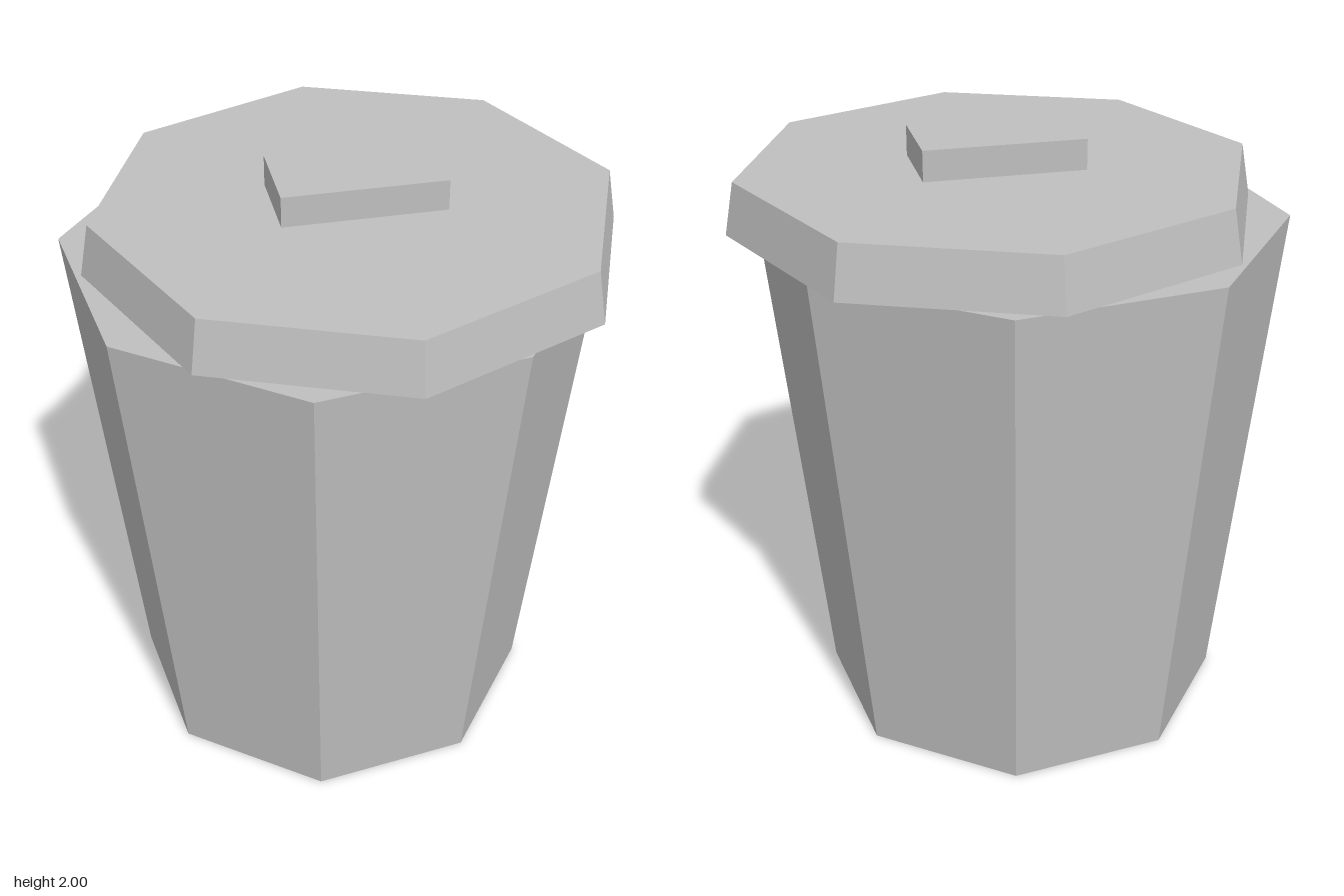
import * as THREE from 'three';

export function createModel() {
  const group = new THREE.Group();
  group.name = 'trashCan';
  const metal = new THREE.MeshStandardMaterial({ color: 0xbfbfbf, flatShading: true });
  metal.name = 'grey metal';

  const add = (name, geometry, parent, x, y, z) => {
    const mesh = new THREE.Mesh(geometry, metal);
    mesh.name = name;
    mesh.position.set(x, y, z);
    parent.add(mesh);
    return mesh;
  };

  // Tapered octagonal bin
  const rim = 1.73;
  add('body', new THREE.CylinderGeometry(0.862, 0.685, rim, 8), group, -0.028, rim / 2, 0);

  // Lid and its handle, twisted and pushed slightly off centre
  const lidGroup = new THREE.Group();
  lidGroup.name = 'lidAssembly';
  lidGroup.position.set(0.054, rim, -0.003);
  lidGroup.rotation.y = THREE.MathUtils.degToRad(15);
  group.add(lidGroup);
  add('lid', new THREE.CylinderGeometry(0.83, 0.862, 0.17, 8), lidGroup, 0, 0.085, 0);
  add('handle', new THREE.BoxGeometry(0.522, 0.1, 0.28), lidGroup, 0, 0.22, 0);

  return group;
}
